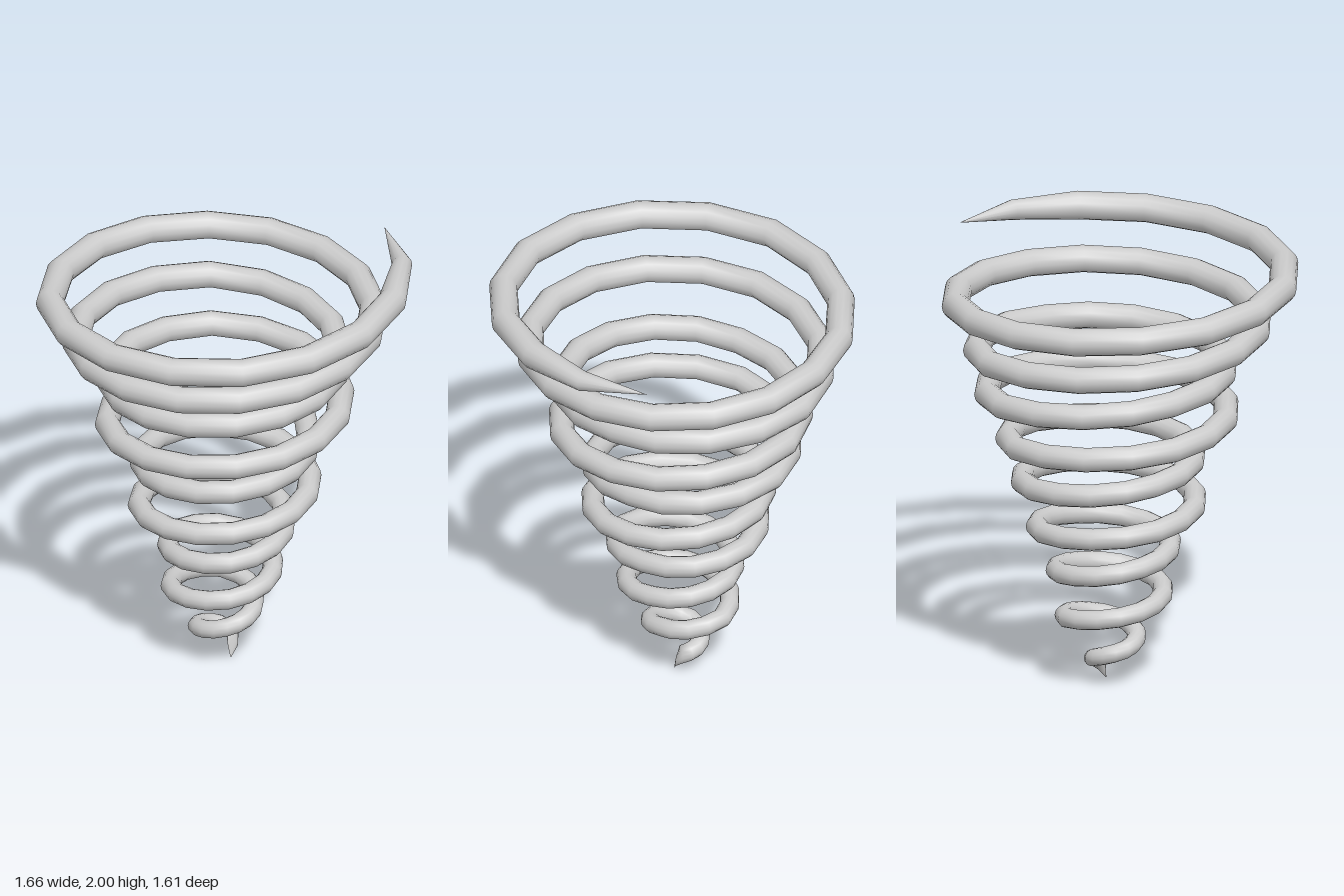
import * as THREE from 'three';

const STEPS_PER_TURN = 16;
const LAST = 145;          // last ring, one step past nine turns
const SIDES = 14;
const CENTRE_Z = -0.04;
const PITCH = 0.2095;

// Outer radius of the coil at each quarter turn, from bottom to top
const OUTER = [
  0.03, 0.13, 0.16, 0.16,
  0.175, 0.27, 0.28, 0.28,
  0.26, 0.295, 0.295, 0.325,
  0.315, 0.395, 0.425, 0.43,
  0.43, 0.445, 0.415, 0.43,
  0.425, 0.54, 0.57, 0.575,
  0.575, 0.615, 0.56, 0.57,
  0.565, 0.685, 0.715, 0.72,
  0.72, 0.76, 0.83, 0.845,
  0.83,
];

function outerRadius(step) {
  const q = step / (STEPS_PER_TURN / 4);
  const i = Math.min(Math.floor(q), OUTER.length - 2);
  return THREE.MathUtils.lerp(OUTER[i], OUTER[i + 1], q - i);
}

// Centre radius, height and tube thickness of one ring
function ringAt(step) {
  const t = step / STEPS_PER_TURN;
  let tube = 0.04 + 0.0026 * t;
  let y = 0.07 + PITCH * t;
  // pointed ends
  if (step === 0) return { r: 0.03, y: 0.005, tube: 0.002 };
  if (step === LAST) return { r: 0.8, y: 1.968, tube: 0.0005 };
  if (step === 1) { tube = 0.025; y = 0.055; }
  if (step === LAST - 1) tube = 0.045;
  const r = step < 4
    ? THREE.MathUtils.lerp(0.03, 0.09, step / 4)
    : outerRadius(step) - tube;
  return { r, y, tube };
}

function spiralGeometry() {
  const positions = [];
  const index = [];
  for (let i = 0; i <= LAST; i++) {
    const { r, y, tube } = ringAt(i);
    const theta = (i / STEPS_PER_TURN) * Math.PI * 2;
    for (let j = 0; j < SIDES; j++) {
      const phi = (j / SIDES) * Math.PI * 2;
      const d = r + tube * Math.cos(phi);
      positions.push(
        d * Math.cos(theta),
        y + tube * Math.sin(phi),
        CENTRE_Z - d * Math.sin(theta),
      );
      if (i < LAST) {
        const k = (j + 1) % SIDES;
        const a = i * SIDES + j, b = i * SIDES + k;
        index.push(a, a + SIDES, b, b, a + SIDES, b + SIDES);
      }
    }
  }
  const geometry = new THREE.BufferGeometry();
  geometry.setAttribute('position', new THREE.Float32BufferAttribute(positions, 3));
  geometry.setIndex(index);
  geometry.computeVertexNormals();
  return geometry;
}

export function createModel() {
  const group = new THREE.Group();
  group.name = 'conicalSpiral';
  const coil = new THREE.Mesh(
    spiralGeometry(),
    new THREE.MeshStandardMaterial({ color: 0xcccccc }),
  );
  coil.name = 'coil';
  group.add(coil);
  return group;
}
